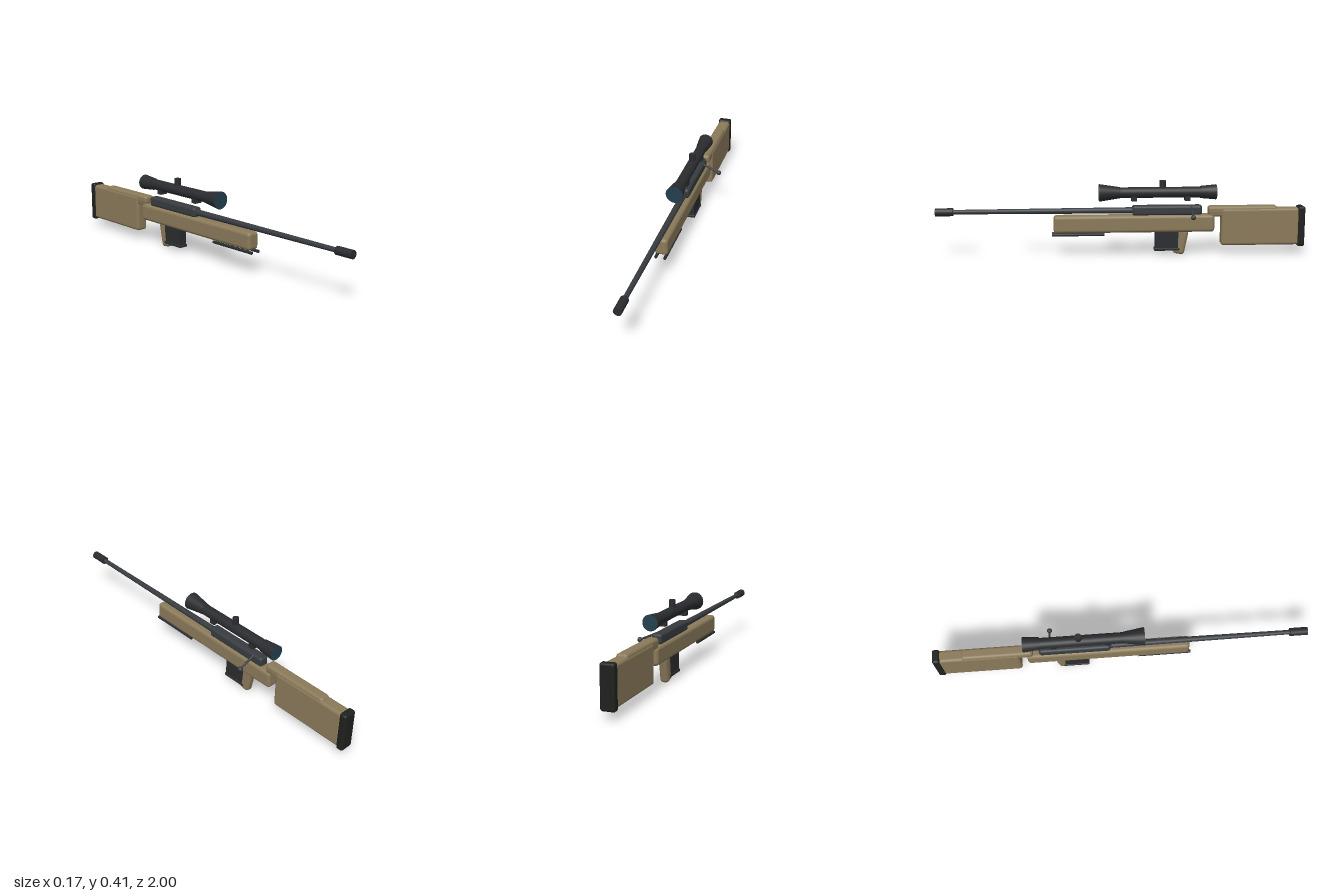
import * as THREE from 'three';
import { RoundedBoxGeometry } from 'three/addons/geometries/RoundedBoxGeometry.js';

const mat = (color) => new THREE.MeshStandardMaterial({ color });

export function createModel() {
  const model = new THREE.Group();
  model.position.x = -0.04; // all parts are built around the bore's plane
  const tan = mat(0x8b7a5a), steel = mat(0x383c40), dark = mat(0x2a2c2f);
  const rubber = mat(0x1f211e), glass = mat(0x23404f);

  const add = (name, geometry, material, x, y, z) => {
    const mesh = new THREE.Mesh(geometry, material);
    mesh.name = name;
    mesh.position.set(x, y, z);
    model.add(mesh);
    return mesh;
  };
  // Rounded box given by its width and its y and z ranges
  const block = (name, material, w, y0, y1, z0, z1, r) =>
    add(name, new RoundedBoxGeometry(w, y1 - y0, z1 - z0, 4, r), material, 0, (y0 + y1) / 2, (z0 + z1) / 2);
  // Cylinder along z with its own radius at the front and the back
  const rod = (name, material, rFront, rBack, x, y, z0, z1, sides = 32) =>
    add(name, new THREE.CylinderGeometry(rFront, rBack, z1 - z0, sides).rotateX(Math.PI / 2), material, x, y, (z0 + z1) / 2);

  // Stock
  block('foreStock', tan, 0.07, 0.13, 0.225, -0.503, 0.37, 0.018);
  block('stockNeck', tan, 0.056, 0.213, 0.25, -0.58, -0.47, 0.012);
  block('buttStock', tan, 0.068, 0.053, 0.258, -0.97, -0.54, 0.016);
  block('cheekRest', tan, 0.06, 0.222, 0.27, -0.847, -0.468, 0.016);
  block('buttPad', rubber, 0.075, 0.044, 0.265, -1, -0.96, 0.012);
  const grip = add('grip', new RoundedBoxGeometry(0.046, 0.14, 0.064, 4, 0.018), tan, 0, 0.075, -0.32);
  grip.rotation.x = -0.2;

  // Magazine
  add('magazine', new THREE.BoxGeometry(0.046, 0.11, 0.125), dark, 0, 0.09, -0.243);
  block('magazinePlate', dark, 0.054, 0.027, 0.042, -0.312, -0.174, 0.004);

  // Receiver, barrel and muzzle
  block('receiver', steel, 0.054, 0.222, 0.276, -0.435, -0.055, 0.014);
  rod('barrel', steel, 0.012, 0.017, 0, 0.249, -0.07, 0.92);
  rod('muzzle', dark, 0.0215, 0.0215, 0, 0.249, 0.905, 1);

  // Folded support legs under the fore stock
  for (const side of [-1, 1]) rod('supportLeg', dark, 0.008, 0.008, side * 0.024, 0.122, 0.095, 0.38, 16);

  // Bolt handle
  const from = new THREE.Vector3(0.015, 0.27, -0.375), to = new THREE.Vector3(0.1125, 0.226, -0.375);
  const handle = add('boltHandle', new THREE.CylinderGeometry(0.006, 0.006, from.distanceTo(to), 16), steel, 0, 0, 0);
  handle.position.lerpVectors(from, to, 0.5);
  handle.quaternion.setFromUnitVectors(new THREE.Vector3(0, 1, 0), to.clone().sub(from).normalize());
  add('boltKnob', new THREE.SphereGeometry(0.0135, 24, 16), steel, to.x, to.y, to.z);

  // Scope
  const sy = 0.346;
  rod('scopeTube', dark, 0.029, 0.029, 0, sy, -0.44, 0.03);
  rod('scopeFrontBell', dark, 0.0475, 0.03, 0, sy, 0.01, 0.123);
  rod('scopeEyepiece', dark, 0.033, 0.041, 0, sy, -0.511, -0.425);
  rod('frontLens', glass, 0.0455, 0.0455, 0, sy, 0.115, 0.125);
  rod('rearLens', glass, 0.039, 0.039, 0, sy, -0.513, -0.505);
  add('scopeTurret', new THREE.CylinderGeometry(0.017, 0.017, 0.06, 24), dark, 0, 0.381, -0.22);
  for (const z of [-0.065, -0.355])
    add('scopeMount', new THREE.BoxGeometry(0.045, 0.03, 0.03), dark, 0, 0.316, z);

  const group = new THREE.Group();
  group.name = 'rifle';
  group.add(model);
  return group;
}
